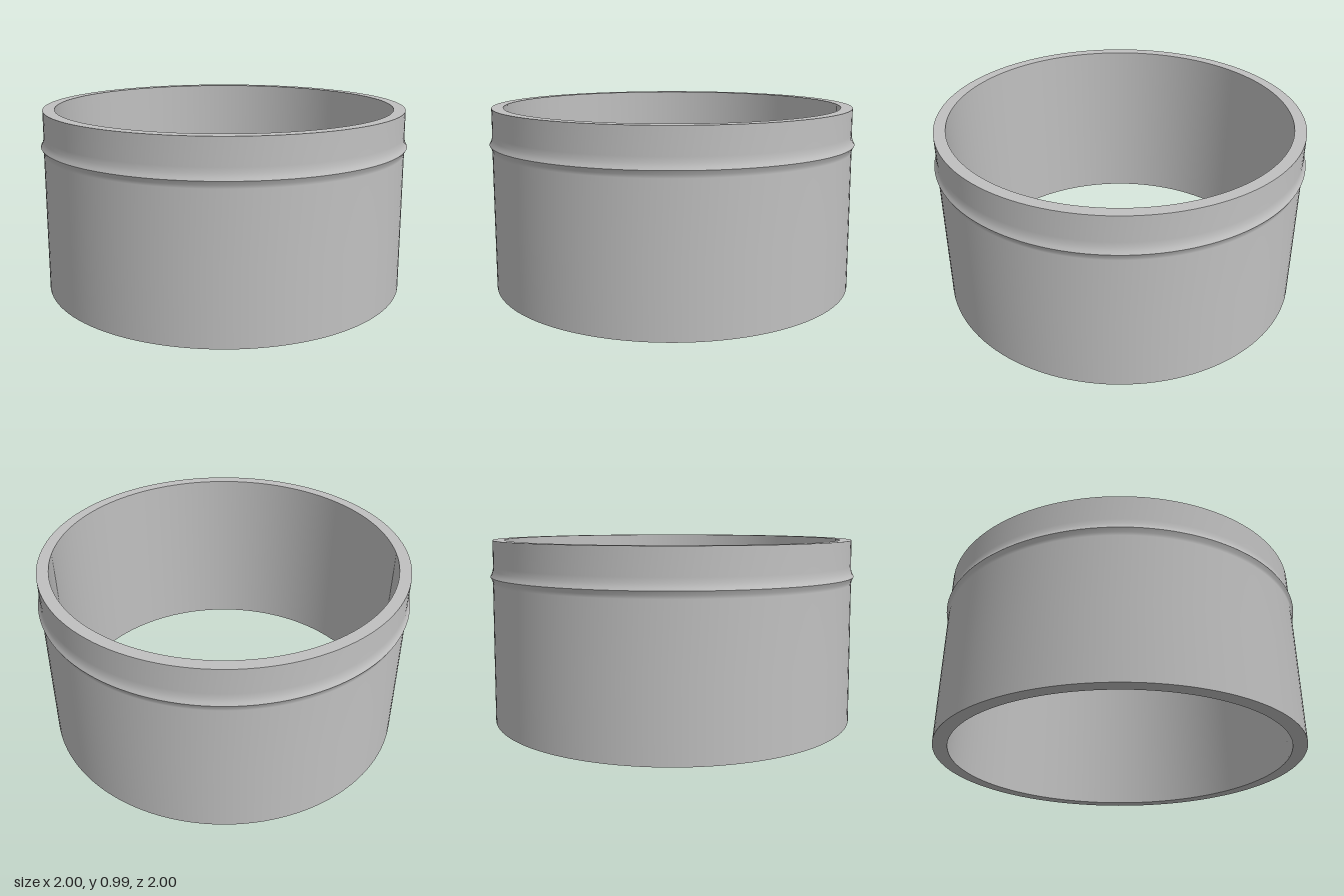
import * as THREE from 'three';

export function createModel() {
  const group = new THREE.Group();
  group.name = 'ring';
  const grey = new THREE.MeshStandardMaterial({ color: 0xc0c0c0 });
  grey.name = 'plain grey';

  // One lathed surface per smooth stretch, so the edges between them stay sharp
  const addSurface = (name, profile) => {
    const points = profile.map(([r, y]) => new THREE.Vector2(r, y));
    const mesh = new THREE.Mesh(new THREE.LatheGeometry(points, 128), grey);
    mesh.name = name;
    group.add(mesh);
  };

  const inner = 0.92, top = 0.985;

  // Slightly tapered outer wall, flaring out under the ridge
  addSurface('outerWall', [[0.997, 0], [0.992, 0.4], [0.987, 0.755], [0.99, 0.772], [1, 0.792]]);
  // Collar rising from the ridge to the rim
  addSurface('collar', [[1, 0.792], [0.992, 0.806], [0.986, 0.825], [0.984, 0.85], [0.982, top]]);
  addSurface('topRim', [[0.982, top], [inner, top]]);
  addSurface('innerWall', [[inner, top], [inner, 0]]);
  addSurface('bottomRim', [[inner, 0], [0.997, 0]]);

  return group;
}
